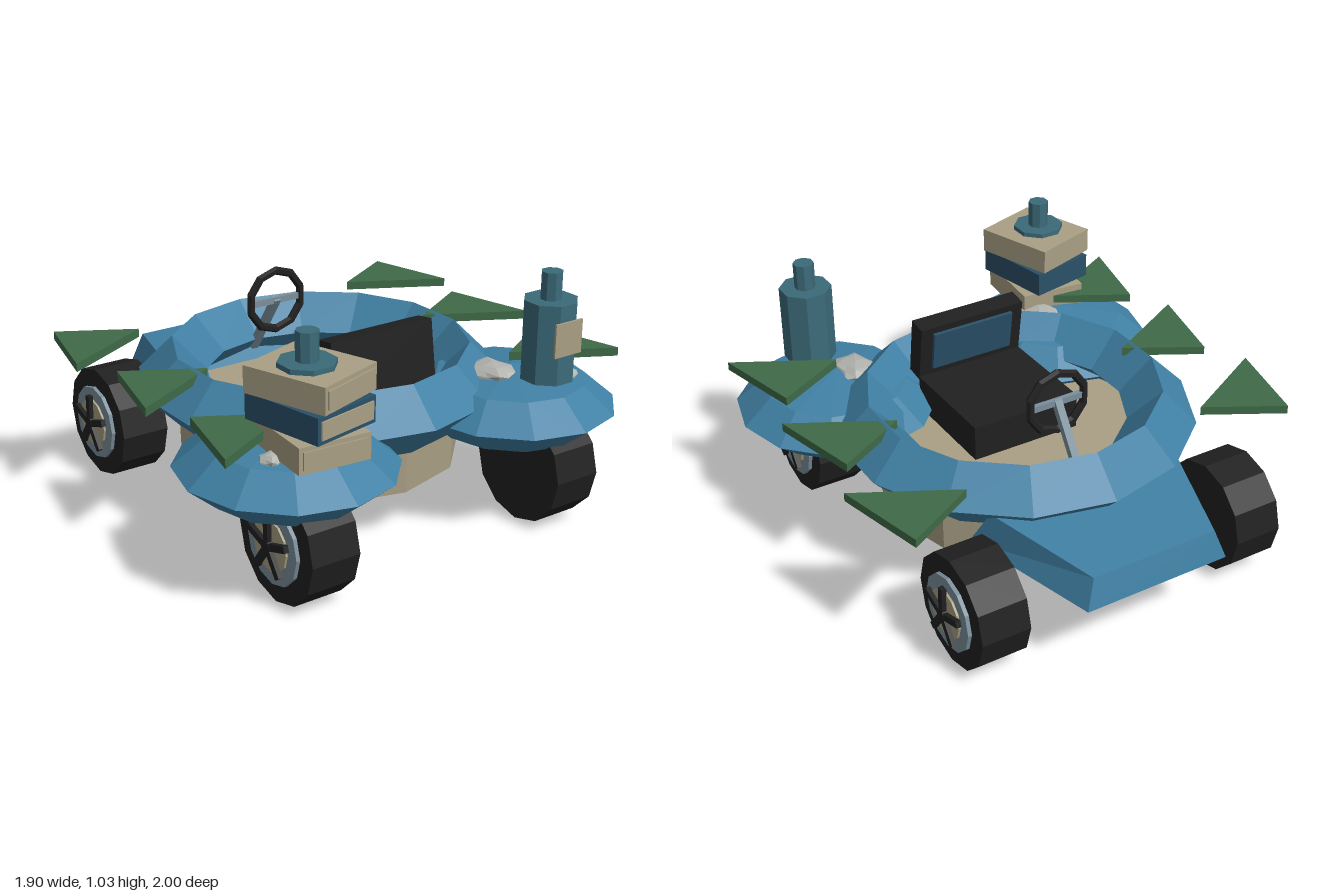
import * as THREE from 'three';

const mat = (name, color) => {
  const m = new THREE.MeshStandardMaterial({ color });
  m.name = name;
  return m;
};

export function createModel() {
  const blue = mat('bodyBlue', 0x4080a4);
  const tan = mat('tan', 0xa99f84);
  const black = mat('rubberBlack', 0x202020);
  const green = mat('finGreen', 0x3f6b48);
  const teal = mat('bottleTeal', 0x3b6b7a);
  const navy = mat('darkBlue', 0x2b5068);
  const steel = mat('steel', 0x7b8f9b);
  const stone = mat('paleGrey', 0xb2b2ae);

  const car = new THREE.Group();
  car.name = 'car';

  // Faceted mesh helper
  const add = (name, geo, material, x = 0, y = 0, z = 0, parent = car) => {
    const flat = geo.index ? geo.toNonIndexed() : geo;
    flat.computeVertexNormals();
    const mesh = new THREE.Mesh(flat, material);
    mesh.name = name;
    mesh.position.set(x, y, z);
    parent.add(mesh);
    return mesh;
  };
  const box = (w, h, d) => new THREE.BoxGeometry(w, h, d);
  const group = (name, x, y, z) => {
    const g = new THREE.Group();
    g.name = name;
    g.position.set(x, y, z);
    car.add(g);
    return g;
  };

  // Tub with floor, and the diamond-section ring around the cockpit
  add('tub', new THREE.CylinderGeometry(0.575, 0.57, 0.22, 12), tan, 0, 0.31, 0.02);
  const ring = new THREE.TorusGeometry(0.6, 0.14, 4, 14).rotateX(Math.PI / 2).rotateY(Math.PI / 2);
  add('cockpitRing', ring, blue, 0, 0.52, 0.02);

  // Hood: a box whose corners taper toward the end and the top
  const hood = box(2, 2, 2);
  const hp = hood.attributes.position;
  for (let i = 0; i < hp.count; i++) {
    const top = hp.getY(i) > 0, inner = hp.getZ(i) > 0;
    const halfWidth = inner ? (top ? 0.42 : 0.46) : (top ? 0.27 : 0.31);
    const z = inner ? (top ? -0.5 : -0.41) : (top ? -0.97 : -1);
    hp.setXYZ(i, Math.sign(hp.getX(i)) * halfWidth, top ? (inner ? 0.485 : 0.44) : 0.32, z);
  }
  add('hood', hood, blue);

  // Wheels: tyre, rim, hub disc and five spokes on the outer face
  const wheel = (s, z) => {
    const g = group('wheel', s * 0.575, 0.232, z);
    if (s < 0) g.rotation.y = Math.PI;
    const disc = (name, r, from, to, m) => add(name,
      new THREE.CylinderGeometry(r, r, to - from, 12).rotateZ(-Math.PI / 2), m, (from + to) / 2, 0, 0, g);
    disc('tyre', 0.232, -0.102, 0.102, black);
    disc('rim', 0.156, 0.09, 0.118, steel);
    disc('hubDisc', 0.103, 0.11, 0.127, tan);
    disc('hubCap', 0.027, 0.12, 0.146, black);
    for (let k = 0; k < 5; k++) {
      const spoke = box(0.02, 0.12, 0.028).translate(0, 0.063, 0).rotateX(k * Math.PI * 2 / 5);
      add('spoke', spoke, black, 0.135, 0, 0, g);
    }
  };

  // Thin triangular fin given in plan, x and z
  const fin = (s, z) => {
    const shape = new THREE.Shape([[0.53, 0.02], [0.83, -0.15], [0.92, 0.23]]
      .map(([x, dz]) => new THREE.Vector2(s * x, dz)));
    const geo = new THREE.ExtrudeGeometry(shape, { depth: 0.035, bevelEnabled: false });
    add('fin', geo.rotateX(Math.PI / 2), green, 0, 0.652, z);
  };

  // Eight-sided bottle
  const bottle = (s) => {
    const g = group('bottle', s * 0.565, 0, 0.74);
    const turn = Math.PI / 8;
    add('bottleBody', new THREE.CylinderGeometry(0.108, 0.108, 0.32, 8).rotateY(turn), teal, 0, 0.76, 0, g);
    add('bottleNeck', new THREE.CylinderGeometry(0.043, 0.043, 0.12, 8).rotateY(turn), teal, 0, 0.97, 0, g);
    add('bottleLabel', box(0.135, 0.135, 0.009), tan, 0, 0.787, 0.104, g);
  };

  // Flattened irregular stone
  const rock = (x, y, z, rx, ry, rz) => {
    const geo = new THREE.IcosahedronGeometry(1, 1);
    const p = geo.attributes.position;
    for (let i = 0; i < p.count; i++) {
      const a = p.getX(i), b = p.getY(i), c = p.getZ(i);
      const k = 0.92 + 0.1 * Math.sin(5 * a + 3 * b + 4 * c);
      p.setXYZ(i, a * k * rx, b * k * ry, c * k * rz);
    }
    add('rock', geo, stone, x, y, z);
  };

  for (const s of [1, -1]) {
    const fender = new THREE.SphereGeometry(1, 12, 4).scale(0.415, 0.145, 0.435);
    add('fender', fender, blue, s * 0.535, 0.46, 0.565);
    wheel(s, 0.7);
    wheel(s, -0.645);
    for (const z of [-0.54, 0, 0.54]) fin(s, z);
    bottle(s);
    rock(s * 0.45, 0.59, 0.55, 0.09, 0.04, 0.12);
    rock(s * 0.7, 0.572, 0.715, 0.045, 0.03, 0.05);
  }

  // Stack of books, each turned a little more
  [[0.63, -0.09, tan, 0.285], [0.74, 0.2, navy, 0.29], [0.85, 0.32, tan, 0.3]].forEach(([y, turn, m, w]) => {
    const g = group('book', -0.548, y, 0.732);
    g.rotation.y = turn;
    add('bookBlock', box(w, 0.102, 0.35), m, 0, 0, 0, g);
    add('bookPlate', box(w - 0.03, 0.068, 0.009), tan, 0, 0, 0.177, g);
  });

  // Seat with a padded backrest
  add('seatCushion', box(0.48, 0.16, 0.46), black, 0, 0.49, 0.15);
  const back = group('seatBack', 0, 0.685, 0.403);
  back.rotation.x = -0.14;
  add('backrest', box(0.48, 0.25, 0.082), black, 0, 0, 0, back);
  add('backPad', box(0.37, 0.17, 0.02), navy, 0, 0.01, -0.046, back);

  // Steering wheel, crossbar and column
  const rim = new THREE.TorusGeometry(0.127, 0.018, 6, 10).rotateZ(Math.PI / 10);
  add('steeringWheel', rim, black, 0, 0.735, -0.3);
  add('steeringCrossbar', box(0.24, 0.026, 0.02), steel, 0, 0.735, -0.3);
  const column = add('steeringColumn', box(0.032, 0.32, 0.03), steel, 0, 0.61, -0.385);
  column.rotation.x = Math.atan2(0.17, 0.25);

  return car;
}
